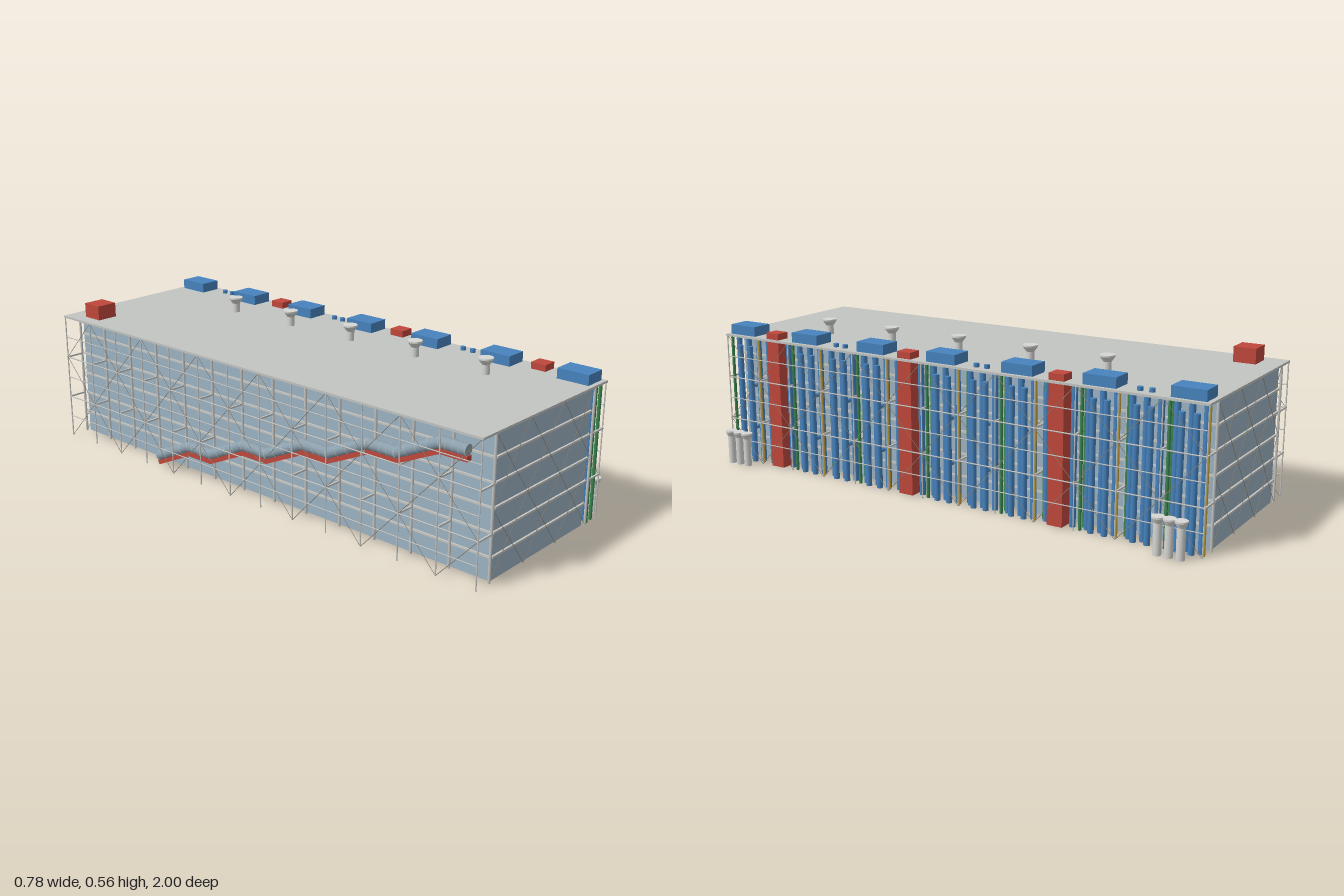
import * as THREE from 'three';

const mat = (name, color, side = THREE.FrontSide) => {
  const m = new THREE.MeshStandardMaterial({ color, side });
  m.name = name;
  return m;
};

export function createModel() {
  const root = new THREE.Group();
  root.name = 'building';
  const M = {
    glass: mat('wall glass', 0x9db3c4, THREE.DoubleSide),
    roof: mat('roof grey', 0xc3c5c2),
    steel: mat('frame steel', 0xc6c6c3),
    rod: mat('bracing rod', 0x8f8678),
    blue: mat('air blue', 0x4682bd),
    green: mat('water green', 0x3c8550),
    yellow: mat('electric yellow', 0xc6a23a),
    red: mat('lift red', 0xbf483c),
    white: mat('vent white', 0xd6d6d4),
    tube: mat('tube glass', 0x8a9fad),
  };
  const group = (name) => {
    const g = new THREE.Group();
    g.name = name;
    root.add(g);
    return g;
  };
  const add = (parent, name, geo, m, x = 0, y = 0, z = 0) => {
    const mesh = new THREE.Mesh(geo, m);
    mesh.name = name;
    mesh.position.set(x, y, z);
    parent.add(mesh);
    return mesh;
  };
  const box = (p, name, m, x0, x1, y0, y1, z0, z1) =>
    add(p, name, new THREE.BoxGeometry(x1 - x0, y1 - y0, z1 - z0), m, (x0 + x1) / 2, (y0 + y1) / 2, (z0 + z1) / 2);
  const UP = new THREE.Vector3(0, 1, 0);
  // round bar between two points
  const bar = (p, name, m, a, b, r, sides = 6) => {
    const A = new THREE.Vector3(...a), B = new THREE.Vector3(...b);
    const d = B.clone().sub(A);
    const mesh = add(p, name, new THREE.CylinderGeometry(r, r, d.length(), sides), m);
    mesh.position.copy(A).add(B).multiplyScalar(0.5);
    mesh.quaternion.setFromUnitVectors(UP, d.normalize());
    return mesh;
  };

  const BAYS = 13, BAY = 2 / BAYS, H = 0.497;
  const XL = -0.305, XR = 0.24;            // glass walls
  const CL = -0.317, CR = 0.253;           // main columns
  const OL = -0.387, OR = 0.323;           // outer posts
  const levels = [1, 2, 3, 4, 5].map((i) => i * 0.083);
  const lineZ = (i) => -0.996 + (i * 1.992) / BAYS;
  const bayZ = (i) => -1 + (i + 0.5) * BAY;

  // open-bottomed glass volume and roof slab
  const shell = group('glassWalls');
  for (const s of [-1, 1]) {
    const end = add(shell, 'endWall', new THREE.PlaneGeometry(XR - XL, H), M.glass, (XL + XR) / 2, H / 2, s * 0.99);
    if (s < 0) end.rotation.y = Math.PI;
    const side = add(shell, 'longWall', new THREE.PlaneGeometry(1.98, H), M.glass, s < 0 ? XL : XR, H / 2, 0);
    side.rotation.y = (s * Math.PI) / 2;
  }
  box(root, 'roofSlab', M.roof, -0.39, 0.327, 0.494, 0.502, -1, 1);

  // columns, outer posts and short bracket beams on every bay line
  const frame = group('steelFrame');
  for (let i = 0; i <= BAYS; i++) {
    const z = lineZ(i);
    for (const [c, o] of [[CL, OL], [CR, OR]]) {
      bar(frame, 'column', M.steel, [c, 0, z], [c, H, z], 0.0048, 8);
      bar(frame, 'outerPost', M.steel, [o, 0, z], [o, H, z], 0.0025);
      for (const y of [levels[1], levels[3]]) {
        box(frame, 'bracket', M.steel, Math.min(c, o) - 0.003, Math.max(c, o) + 0.003, y - 0.003, y + 0.003, z - 0.003, z + 0.003);
      }
    }
  }
  // floor beams around the walls and rails along the outer posts
  levels.forEach((y, i) => {
    for (const s of [-1, 1]) {
      box(frame, 'endBeam', M.steel, XL, XR, y - 0.0035, y + 0.0035, s * 0.993 - 0.004, s * 0.993 + 0.004);
    }
    for (const x of [XL - 0.004, XR + 0.004]) {
      box(frame, 'sideBeam', M.steel, x - 0.003, x + 0.003, y - 0.0035, y + 0.0035, -0.99, 0.99);
    }
    for (const x of [OL, OR]) {
      bar(frame, 'outerRail', M.steel, [x, y, -0.996], [x, y, 0.996], i % 2 ? 0.0025 : 0.002);
    }
  });

  // diagonal rods: crosses on the ends, zigzags along the sides
  const bracing = group('bracingRods');
  const bw = (CR - CL) / 3;
  for (const z of [-0.997, 0.997]) {
    for (let i = 0; i < 3; i++) for (let j = 0; j < 2; j++) {
      const x0 = CL + i * bw, x1 = x0 + bw, y0 = j * 0.248, y1 = y0 + 0.248;
      bar(bracing, 'endRod', M.rod, [x0, y0, z], [x1, y1, z], 0.0011, 4);
      bar(bracing, 'endRod', M.rod, [x0, y1, z], [x1, y0, z], 0.0011, 4);
    }
  }
  for (const x of [OL, OR]) {
    for (let i = 0; i < BAYS; i++) for (let j = 0; j < 3; j++) {
      const up = (i + j) % 2 === 0;
      const y0 = j * 0.166, y1 = Math.min(y0 + 0.166, H);
      bar(bracing, 'sideRod', M.rod, [x, up ? y0 : y1, lineZ(i)], [x, up ? y1 : y0, lineZ(i + 1)], 0.0012, 4);
    }
  }

  // service ducts and pipes on the +x side
  const services = group('servicePipes');
  const pipe = (name, m, x, z, r, top) => bar(services, name, m, [x, 0, z], [x, top, z], r, 12);
  for (let i = 0; i < BAYS; i++) {
    const z = bayZ(i);
    const isLift = i % 4 === 3;
    if (isLift) {
      box(services, 'liftShaft', M.red, 0.264, 0.318, 0, 0.526, z - 0.029, z + 0.029);
      pipe('airPipe', M.blue, 0.286, z - 0.052, 0.011, 0.495);
      pipe('airPipe', M.blue, 0.286, z + 0.05, 0.011, 0.495);
    } else {
      pipe('airPipe', M.blue, 0.286, z - 0.053, 0.011, 0.495);
      pipe('airPipe', M.blue, 0.308, z - 0.028, 0.011, 0.46);
      pipe('airPipe', M.blue, 0.286, z - 0.003, 0.011, 0.495);
      pipe('airPipe', M.blue, 0.308, z + 0.022, 0.011, 0.46);
      pipe('airPipe', M.blue, 0.286, z + 0.047, 0.011, 0.495);
      for (const y of [0.125, 0.293]) {
        bar(services, 'airBranch', M.blue, [0.242, y, z], [0.28, y, z], 0.0075, 10);
      }
    }
    pipe('waterPipe', M.green, 0.272, z + 0.066, 0.006, 0.495);
    if (i % 2 === 0) {
      pipe('waterPipe', M.green, 0.305, z + 0.064, 0.006, 0.495);
      pipe('cablePipe', M.yellow, 0.302, z - 0.068, 0.005, 0.495);
    }
  }

  // rooftop plant: coolers, pipe stubs, lift machine room
  const plant = group('roofPlant');
  for (let i = 0; i < BAYS; i++) {
    const z = bayZ(i);
    if (i % 2 === 0) box(plant, 'airUnit', M.blue, 0.23, 0.313, 0.502, 0.539, z - 0.06, z + 0.06);
    if (i % 4 === 1) {
      for (const d of [-0.02, 0.022]) bar(plant, 'pipeStub', M.blue, [0.287, 0.5, z + d], [0.287, 0.515, z + d], 0.01, 12);
    }
  }
  box(plant, 'machineRoom', M.red, -0.342, -0.259, 0.502, 0.557, -0.922, -0.84);

  // flared ventilation stacks on roof and ground
  const stack = (name, x, y, z, r, h, R, flare) => {
    const pts = [[0, 0], [r, 0], [r, h - flare], [R, h - 0.006], [R, h], [0, h]].map((p) => new THREE.Vector2(...p));
    // separate bands keep the rims sharp
    const g = group(name);
    g.position.set(x, y, z);
    for (let i = 1; i < 5; i++) add(g, name + 'Band', new THREE.LatheGeometry([pts[i], pts[i + 1]], 20), M.white);
  };
  for (let i = 0; i < 5; i++) stack('roofVent', 0.11, 0.502, -0.54 + i * 0.3, 0.0145, 0.059, 0.027, 0.024);
  for (const z of [-0.94, -0.9, -0.86, 0.88, 0.92, 0.96]) stack('groundVent', 0.367, 0, z, 0.0145, 0.13, 0.022, 0.022);

  // stepped escalator tube climbing the -x side, with a red tray below
  const escalator = group('escalator');
  const X = -0.362, path = [];
  for (let i = 0; i < 5; i++) {
    const z = -0.48 + i * 0.285, y = 0.042 + i * 0.079;
    path.push([z, y], [z + 0.17, y + 0.079]);
  }
  path.push([0.93, path[9][1]]);
  for (let i = 0; i < path.length - 1; i++) {
    const [z0, y0] = path[i], [z1, y1] = path[i + 1];
    const len = Math.hypot(z1 - z0, y1 - y0), tilt = -Math.atan2(y1 - y0, z1 - z0);
    bar(escalator, 'escalatorTube', M.tube, [X, y0, z0], [X, y1, z1], 0.02, 16);
    add(escalator, 'tubeJoint', new THREE.SphereGeometry(0.02, 16, 10), M.tube, X, y0, z0);
    const tray = add(escalator, 'escalatorTray', new THREE.BoxGeometry(0.023, 0.018, len + 0.006), M.red, X, (y0 + y1) / 2 - 0.026, (z0 + z1) / 2);
    tray.rotation.x = tilt;
    // hoops around the tube
    for (let k = 0; k <= 4; k++) {
      const t = k / 4;
      const hoop = add(escalator, 'tubeHoop', new THREE.TorusGeometry(0.02, 0.0012, 4, 16), M.steel, X, y0 + (y1 - y0) * t, z0 + (z1 - z0) * t);
      hoop.rotation.x = tilt;
    }
  }
  return root;
}
